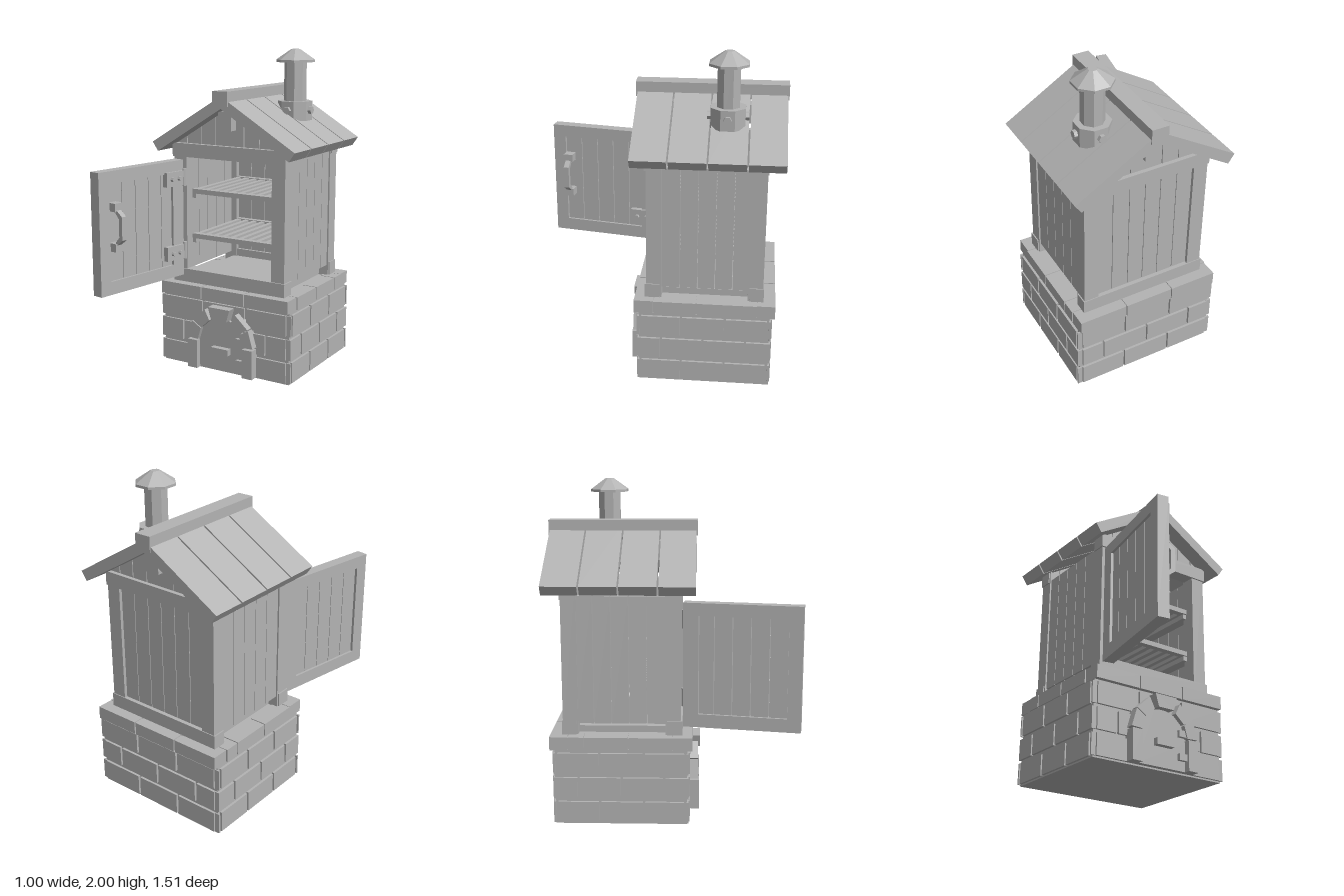
import * as THREE from 'three';

const grey = new THREE.MeshStandardMaterial({ color: 0xb3b3b3, flatShading: true });

function add(parent, name, geometry) {
  const mesh = new THREE.Mesh(geometry, grey);
  mesh.name = name;
  parent.add(mesh);
  return mesh;
}

// Box given by its limits on each axis
function box(parent, name, x0, x1, y0, y1, z0, z1) {
  const mesh = add(parent, name, new THREE.BoxGeometry(x1 - x0, y1 - y0, z1 - z0));
  mesh.position.set((x0 + x1) / 2, (y0 + y1) / 2, (z0 + z1) / 2);
  return mesh;
}

// Outline in x, y extruded from z0 to z1
function slab(parent, name, points, z0, z1) {
  const shape = new THREE.Shape(points.map(([x, y]) => new THREE.Vector2(x, y)));
  const geometry = new THREE.ExtrudeGeometry(shape, { depth: z1 - z0, bevelEnabled: false, curveSegments: 8 });
  return add(parent, name, geometry.translate(0, 0, z0));
}

// Upright cylinder with flats facing the axes
function prism(parent, name, rTop, rBottom, y0, y1, x, z, sides = 8) {
  const geometry = new THREE.CylinderGeometry(rTop, rBottom, y1 - y0, sides).rotateY(Math.PI / sides);
  const mesh = add(parent, name, geometry);
  mesh.position.set(x, (y0 + y1) / 2, z);
  return mesh;
}

// Hexagonal bolt along x
function bolt(parent, x, y, z, r, length) {
  const mesh = add(parent, 'bolt', new THREE.CylinderGeometry(r, r, length, 6).rotateZ(Math.PI / 2));
  mesh.position.set(x, y, z);
  return mesh;
}

function group(parent, name) {
  const g = new THREE.Group();
  g.name = name;
  parent.add(g);
  return g;
}

// Neighbouring pairs of a list of joints, with a small gap between
function spans(joints, gap, fn) {
  for (let i = 0; i + 1 < joints.length; i++) fn(joints[i] + gap / 2, joints[i + 1] - gap / 2);
}

function buildBase(root) {
  const base = group(root, 'brickBase');
  box(base, 'mortarCore', -0.455, 0.455, 0, 0.46, -0.695, 0.085);
  const rows = [[0.01, 0.14], [0.16, 0.29], [0.31, 0.44]];
  rows.forEach(([y0, y1], i) => {
    const xs = i === 1 ? [-0.445, -0.3, 0, 0.3, 0.445] : [-0.445, -0.155, 0.155, 0.445];
    const zs = i === 1 ? [-0.71, -0.555, -0.3, -0.05, 0.1] : [-0.71, -0.685, -0.43, -0.17, 0.075, 0.1];
    spans(xs, 0.014, (a, b) => {
      box(base, 'frontBrick', a, b, y0, y1, 0.05, 0.1);
      box(base, 'backBrick', a, b, y0, y1, -0.71, -0.66);
    });
    spans(zs, 0.014, (a, b) => {
      for (const s of [-1, 1]) box(base, 'sideBrick', s * 0.455 - 0.015, s * 0.455 + 0.015, y0, y1, a, b);
    });
  });

  // Cap course
  box(base, 'capCore', -0.45, 0.45, 0.455, 0.53, -0.715, 0.105);
  spans([-0.462, -0.155, 0.155, 0.462], 0.01, (a, b) => {
    box(base, 'capStone', a, b, 0.455, 0.535, 0, 0.115);
    box(base, 'capStone', a, b, 0.455, 0.535, -0.725, -0.62);
  });
  spans([0, -0.26, -0.52, -0.62].reverse(), 0.008, (a, b) => {
    for (const s of [-1, 1]) box(base, 'capStone', s * 0.41 - 0.052, s * 0.41 + 0.052, 0.455, 0.535, a, b);
  });
}

function buildFirebox(root) {
  const fire = group(root, 'fireboxDoor');
  const panel = [[-0.175, 0.01], [0.175, 0.01]];
  for (let i = 0; i <= 10; i++) {
    const a = (i / 10) * Math.PI;
    panel.push([0.175 * Math.cos(a), 0.185 + 0.17 * Math.sin(a)]);
  }
  slab(fire, 'fireboxPanel', panel, 0.08, 0.118);
  box(fire, 'fireboxHandle', -0.062, 0.062, 0.13, 0.17, 0.11, 0.155);
  for (const y of [0.07, 0.21]) box(fire, 'fireboxHinge', 0.11, 0.175, y, y + 0.04, 0.11, 0.14);

  // Arch stones around the opening
  for (const s of [-1, 1]) box(fire, 'archJamb', s * 0.2 - 0.035, s * 0.2 + 0.035, 0.01, 0.195, 0.08, 0.155);
  const angles = [2, 32, 63, 117, 148, 178];
  for (let i = 0; i < 5; i++) {
    const key = i === 2;
    const [a, b] = [angles[i] + 0.8, angles[i + 1] - 0.8].map(THREE.MathUtils.degToRad);
    const at = (r, t) => [r * Math.cos(t), 0.195 + r * Math.sin(t)];
    const outer = key ? 0.262 : 0.237, inner = 0.163;
    const pts = key
      ? [[0.055, 0.352], [0.078, 0.43], [-0.078, 0.43], [-0.055, 0.352]]
      : [at(inner, a), at(outer, a), at(outer, b), at(inner, b)];
    slab(fire, key ? 'keystone' : 'archStone', pts, 0.08, key ? 0.16 : 0.148);
  }
}

function buildCabinet(root) {
  const cabinet = group(root, 'cabinet');
  box(cabinet, 'floor', -0.33, 0.33, 0.53, 0.57, -0.6, 0.03);
  for (const s of [-1, 1]) {
    for (const [z0, z1] of [[-0.045, 0.045], [-0.65, -0.56]]) {
      box(cabinet, 'cornerPost', s * 0.35 - 0.045, s * 0.35 + 0.045, 0.53, 1.42, z0, z1);
    }
    // Side planks
    spans([-0.57, -0.466, -0.362, -0.258, -0.154, -0.04], 0.004, (a, b) =>
      box(cabinet, 'sidePlank', s * 0.365 - 0.02, s * 0.365 + 0.02, 0.6, 1.36, a, b));
  }
  // Front and back rails
  for (const [y0, y1] of [[0.53, 0.62], [1.34, 1.425]]) {
    box(cabinet, 'frontRail', -0.402, 0.402, y0, y1, -0.035, 0.055);
    box(cabinet, 'backRail', -0.402, 0.402, y0, y1, -0.655, -0.57);
  }
  spans([-0.31, -0.205, -0.1, 0, 0.1, 0.205, 0.31], 0.004, (a, b) =>
    box(cabinet, 'backPlank', a, b, 0.6, 1.36, -0.63, -0.59));

  // Gable planks cut to the roof slope
  const h = x => 1.67 - 0.61 * Math.abs(x);
  spans([-0.4, -0.31, -0.207, -0.1, 0.1, 0.207, 0.31, 0.4], 0.005, (a, b) => {
    const pts = [[a, 1.4], [b, 1.4], [b, h(b)]];
    if (a < 0 && b > 0) pts.push([0, h(0)]);
    pts.push([a, h(a)]);
    slab(cabinet, 'gablePlank', pts, -0.01, 0.025);
    slab(cabinet, 'gablePlank', pts, -0.63, -0.595);
  });
  box(cabinet, 'ridgeBeam', -0.045, 0.045, 1.525, 1.64, -0.69, 0.085);

  // Slatted racks on runners
  for (const y of [0.81, 1.1]) {
    const rack = group(cabinet, 'rack');
    for (const s of [-1, 1]) box(rack, 'runner', s * 0.315 - 0.035, s * 0.315 + 0.035, y - 0.03, y, -0.59, -0.02);
    for (const z of [-0.57, -0.03]) box(rack, 'rackBar', -0.3, 0.3, y, y + 0.03, z - 0.02, z + 0.02);
    for (let i = 0; i < 10; i++) {
      const x = -0.28 + i * 0.0622;
      box(rack, 'slat', x - 0.015, x + 0.015, y + 0.003, y + 0.027, -0.56, -0.04);
    }
  }
}

function buildRoof(root) {
  const roof = group(root, 'roof');
  for (const s of [-1, 1]) {
    const section = [[0, 1.735], [0.5, 1.432], [0.462, 1.377], [0, 1.66]].map(([x, y]) => [s * x, y]);
    spans([-0.755, -0.535, -0.31, -0.085, 0.135], 0.01, (a, b) => slab(roof, 'roofPlank', section, a, b));
  }
  box(roof, 'ridgeCap', -0.052, 0.052, 1.675, 1.765, -0.757, 0.14);

  // Chimney
  const chimney = group(root, 'chimney');
  const x = 0.215, z = -0.41;
  prism(chimney, 'collar', 0.108, 0.108, 1.56, 1.68, x, z);
  prism(chimney, 'pipe', 0.07, 0.07, 1.62, 1.93, x, z);
  prism(chimney, 'cowlRim', 0.121, 0.121, 1.92, 1.935, x, z);
  prism(chimney, 'cowl', 0.027, 0.121, 1.935, 2, x, z);
  bolt(chimney, x + 0.11, 1.625, z, 0.025, 0.022);
  for (const s of [-1, 1]) {
    bolt(chimney, x, 1.625, z + s * 0.11, 0.025, 0.022).rotation.y = Math.PI / 2;
  }
}

function buildDoor(root) {
  // Door swung open about its left edge; local z runs along its width
  const door = group(root, 'openDoor');
  door.position.set(-0.315, 0, 0.07);
  door.rotation.y = -0.175;
  for (const [a, b] of [[0, 0.09], [0.61, 0.69]]) box(door, 'doorStile', -0.07, 0, 0.585, 1.325, a, b);
  for (const [a, b] of [[0.585, 0.665], [1.25, 1.325]]) box(door, 'doorRail', -0.07, 0, a, b, 0.09, 0.61);
  spans([0.09, 0.18, 0.287, 0.394, 0.502, 0.61], 0.004, (a, b) =>
    box(door, 'doorPlank', -0.055, -0.015, 0.65, 1.26, a, b));

  // Hinges
  for (const y of [0.745, 1.215]) {
    box(door, 'hingePlate', -0.015, 0.018, y - 0.045, y + 0.045, 0.015, 0.16);
    for (const z of [0.055, 0.115]) bolt(door, 0.025, y, z, 0.014, 0.025);
    const barrel = prism(root, 'hingeBarrel', 0.014, 0.014, y - 0.055, y + 0.055, -0.312, 0.062);
    barrel.name = 'hingeBarrel';
  }

  // Handle with bent bar
  for (const y of [0.875, 1.115]) box(door, 'handleMount', -0.02, 0.045, y - 0.025, y + 0.025, 0.55, 0.61);
  const bar = [[0.03, 0.88], [0.088, 0.925], [0.088, 1.065], [0.03, 1.11],
    [0.03, 1.085], [0.062, 1.05], [0.062, 0.94], [0.03, 0.905]];
  slab(door, 'handleBar', bar, 0.563, 0.597);
}

export function createModel() {
  const root = new THREE.Group();
  root.name = 'smokehouse';
  buildBase(root);
  buildFirebox(root);
  buildCabinet(root);
  buildRoof(root);
  buildDoor(root);
  return root;
}
